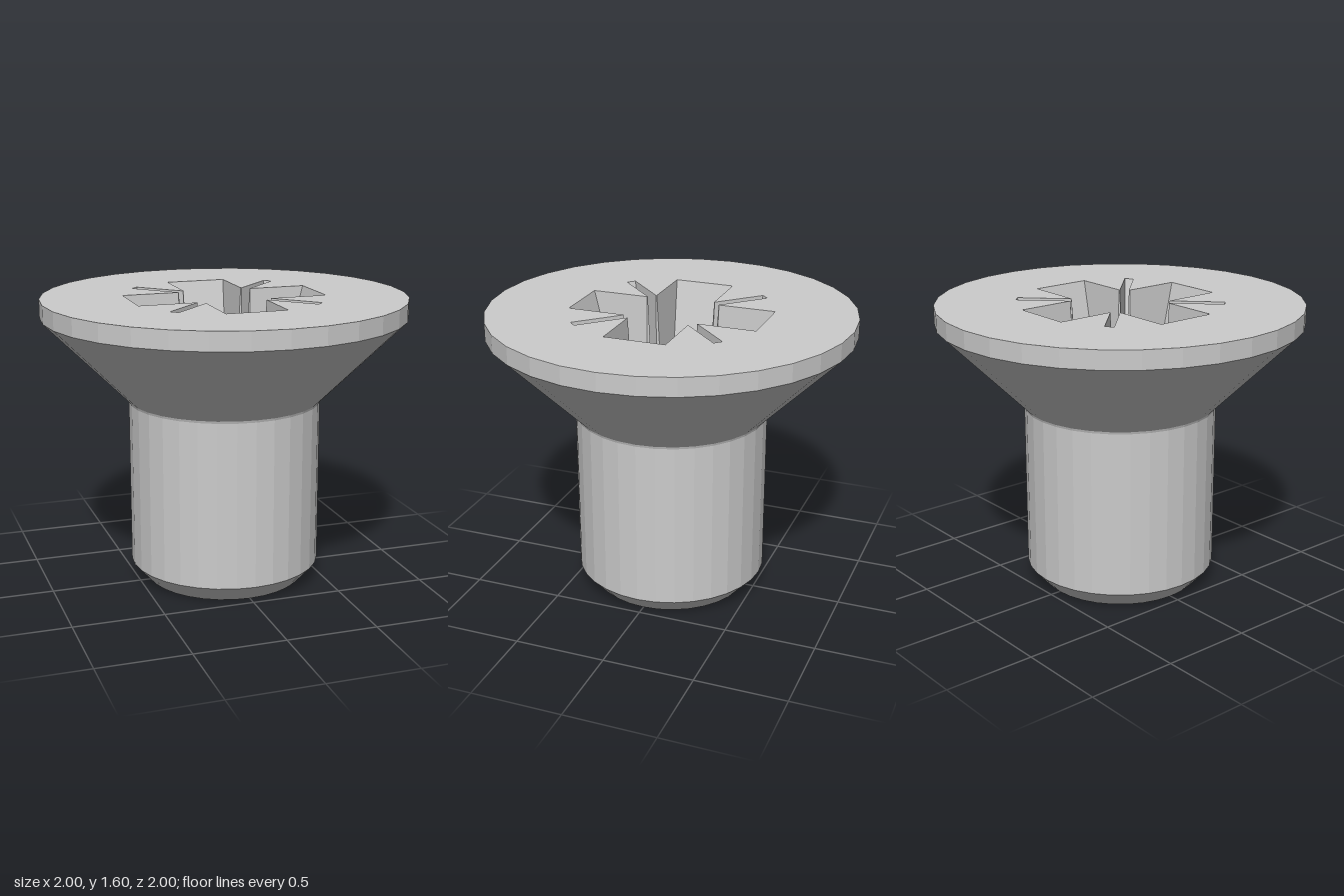
import * as THREE from 'three';

const SIDES = 32, TOP = 1.6, SLOT_FLOOR = 1.3, FLOOR = 1.0;
const material = new THREE.MeshStandardMaterial({ color: 0xcccccc, flatShading: true });

function part(name, geometry) {
  const flat = geometry.index ? geometry.toNonIndexed() : geometry;
  flat.computeVertexNormals();
  const mesh = new THREE.Mesh(flat, material);
  mesh.name = name;
  return mesh;
}

const lathe = (points) =>
  new THREE.LatheGeometry(points.map(([r, y]) => new THREE.Vector2(r, y)), SIDES);

function circlePoints(radius) {
  return Array.from({ length: SIDES }, (_, i) => {
    const a = (i / SIDES) * Math.PI * 2;
    return new THREE.Vector2(radius * Math.cos(a), radius * Math.sin(a));
  });
}

// Flat horizontal face with one hole, looking up
function plate(outline, hole, y) {
  const shape = new THREE.Shape(outline);
  shape.holes.push(new THREE.Path(hole));
  return new THREE.ShapeGeometry(shape).rotateX(-Math.PI / 2).translate(0, y, 0);
}

// Cross with bevelled inner corners, each cut by a thin diagonal slot.
// t runs from 0 at the rim to 1 at the floor.
function crossOutline(t, slotEnd, slotHalf) {
  const length = THREE.MathUtils.lerp(0.527, 0.36, t);
  const half = THREE.MathUtils.lerp(0.168, 0.135, t);
  const inner = THREE.MathUtils.lerp(0.21, 0.2, t);
  const mouth = (half + inner) / Math.SQRT2;
  const end = slotEnd ?? mouth;
  const diagonal = (r, h) => [(r - h) / Math.SQRT2, (r + h) / Math.SQRT2];
  const quarter = [
    [length, half], [inner, half],
    diagonal(mouth, -slotHalf), diagonal(end, -slotHalf),
    diagonal(end, slotHalf), diagonal(mouth, slotHalf),
    [half, inner], [half, length],
  ];
  const points = [];
  for (let q = 0; q < 4; q++) {
    for (const [x, y] of quarter) {
      points.push(new THREE.Vector2(x, y).rotateAround(new THREE.Vector2(), (q * Math.PI) / 2));
    }
  }
  return points;
}

// Inward-facing walls through a stack of outlines, skipping collapsed triangles
function recessWalls(rings) {
  const positions = [];
  const triangle = (a, b, c) => {
    if (new THREE.Triangle(a, b, c).getArea() > 1e-7) {
      for (const p of [a, b, c]) positions.push(p.x, p.y, p.z);
    }
  };
  const at = ({ points, y }, i) => {
    const p = points[i % points.length];
    return new THREE.Vector3(p.x, y, -p.y);
  };
  for (let r = 0; r < rings.length - 1; r++) {
    for (let i = 0; i < rings[r].points.length; i++) {
      const p0 = at(rings[r], i), p1 = at(rings[r], i + 1);
      const q0 = at(rings[r + 1], i), q1 = at(rings[r + 1], i + 1);
      triangle(p0, p1, q1);
      triangle(p0, q1, q0);
    }
  }
  const geometry = new THREE.BufferGeometry();
  geometry.setAttribute('position', new THREE.Float32BufferAttribute(positions, 3));
  return geometry;
}

export function createModel() {
  const model = new THREE.Group();
  model.name = 'countersunkScrew';

  // Shank with bevelled tip, and conical head with a short rim
  model.add(part('shank', lathe([[0, 0], [0.44, 0], [0.53, 0.1], [0.53, 1.02]])));
  model.add(part('head', lathe([[0.53, 1.02], [0.534, 1.033], [0.545, 1.045], [1, 1.5], [1, TOP]])));

  // Top face opened by the driver recess
  const rim = crossOutline(0, 0.565, 0.025);
  model.add(part('headTop', plate(circlePoints(1), rim, TOP)));

  // Tapered recess: slots stop halfway down, the cross continues to the floor
  const recess = new THREE.Group();
  recess.name = 'driverRecess';
  const tMid = (TOP - SLOT_FLOOR) / (TOP - FLOOR);
  const bottom = crossOutline(1, null, 0.018);
  recess.add(part('recessWalls', recessWalls([
    { points: rim, y: TOP },
    { points: crossOutline(tMid, 0.49, 0.018), y: SLOT_FLOOR },
    { points: crossOutline(tMid, null, 0.018), y: SLOT_FLOOR },
    { points: bottom, y: FLOOR },
  ])));
  recess.add(part('recessFloor', plate(bottom, circlePoints(0.234), FLOOR)));
  recess.add(part('recessCone', lathe([[0.234, FLOOR], [0, FLOOR - 0.12]])));
  model.add(recess);

  return model;
}
